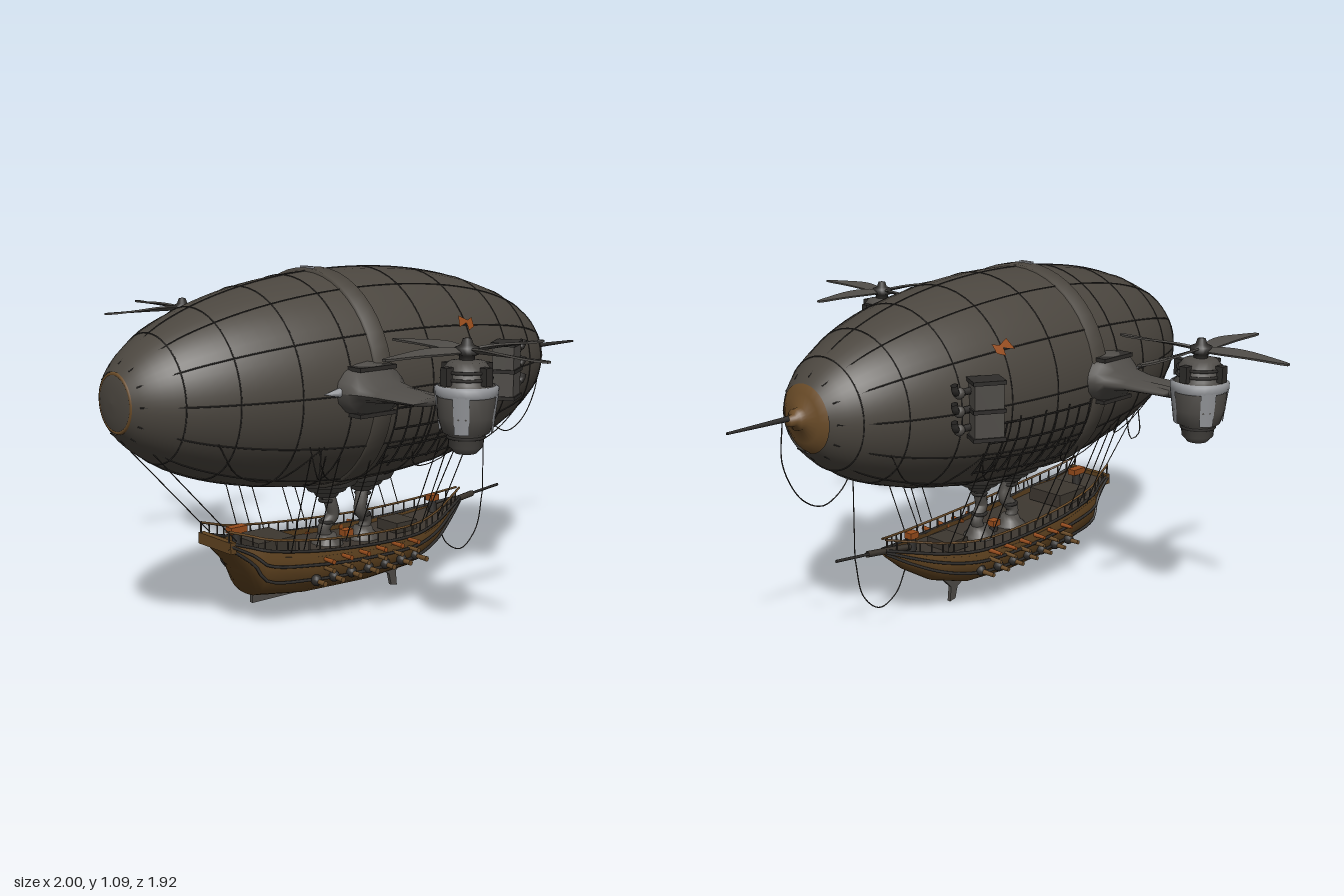
import * as THREE from 'three';

const mat = (name, color) => {
  const m = new THREE.MeshStandardMaterial({ color, side: THREE.DoubleSide });
  m.name = name;
  return m;
};
const M = {
  canvas: mat('canvas', 0x4b463f), metal: mat('wing metal', 0x4f4c48), dark: mat('dark iron', 0x2e2c2a),
  silver: mat('bare steel', 0x96989c), wood: mat('hull wood', 0x604320), deck: mat('deck wood', 0x3d3730),
  bronze: mat('bronze', 0x6b4c28), orange: mat('orange paint', 0x964c1c), rope: mat('rope', 0x35322f),
};
const V = (x, y, z) => new THREE.Vector3(x, y, z);
const CY = 0.738, CZ = 0.135, LEN = 0.85, RAD = 0.337;
const envR = z => RAD * Math.sqrt(Math.max(0, 1 - ((z - CZ) / LEN) ** 2));
// point on the envelope: angle 0 is +x, 90 degrees is up
const onEnv = (z, a, off = 0) => V(Math.cos(a) * (envR(z) + off), CY + Math.sin(a) * (envR(z) + off), z);

function add(parent, name, geo, material, x = 0, y = 0, z = 0) {
  const m = new THREE.Mesh(geo, material);
  m.name = name;
  m.position.set(x, y, z);
  parent.add(m);
  return m;
}
const tube = (p, name, pts, r, material, seg = 12, sides = 5) =>
  add(p, name, new THREE.TubeGeometry(new THREE.CatmullRomCurve3(pts), seg, r, sides), material);
const line = (p, name, a, b, r, material) =>
  add(p, name, new THREE.TubeGeometry(new THREE.LineCurve3(a, b), 1, r, 5), material);
const lathe = (pts, seg = 24) => new THREE.LatheGeometry(pts.map(p => new THREE.Vector2(p[0], p[1])), seg);

// skin through a list of equally long cross-sections
function loft(sections) {
  const n = sections[0].length, idx = [];
  for (let i = 0; i < sections.length - 1; i++)
    for (let j = 0; j < n - 1; j++) {
      const a = i * n + j, b = a + n;
      idx.push(a, b, a + 1, b, b + 1, a + 1);
    }
  const g = new THREE.BufferGeometry().setFromPoints(sections.flat());
  g.setIndex(idx);
  g.computeVertexNormals();
  return g;
}

function envelope(root) {
  const g = new THREE.Group();
  g.name = 'envelope';
  root.add(g);
  const prof = [];
  for (let i = 0; i <= 40; i++) {
    const a = -1.26 + 2.56 * i / 40;
    prof.push([RAD * Math.cos(a), LEN * Math.sin(a)]);
  }
  add(g, 'envelopeSkin', lathe(prof, 48).rotateX(Math.PI / 2), M.canvas, 0, CY, CZ);
  add(g, 'noseCap', lathe([[0.09, 0.952], [0.075, 0.958], [0.04, 0.964], [0, 0.966]]).rotateX(Math.PI / 2), M.canvas, 0, CY, 0);
  add(g, 'noseRing', new THREE.TorusGeometry(0.083, 0.007, 8, 32), M.bronze, 0, CY, 0.95);
  add(g, 'tailCap', lathe([[0, -0.74], [0.016, -0.74], [0.018, -0.72], [0.032, -0.715], [0.034, -0.695], [0.075, -0.688], [0.106, -0.668], [0.112, -0.66]])
    .rotateX(Math.PI / 2), M.bronze, 0, CY + 0.004, 0);
  add(g, 'tailSpike', new THREE.CylinderGeometry(0.009, 0.004, 0.23, 8).rotateX(Math.PI / 2), M.dark, 0, 0.75, -0.838);
  // broad band round the wing line
  add(g, 'wingBand', lathe([[0.325, -0.03], [0.343, -0.03], [0.343, 0.03], [0.325, 0.03]], 48).rotateX(Math.PI / 2), M.canvas, 0, CY, 0.25);
  add(g, 'bandPlate', new THREE.BoxGeometry(0.05, 0.008, 0.016), M.silver, 0, CY + 0.343, 0.27);
  // seams
  for (const z of [0.84, 0.7, 0.52, 0.36, 0.05, -0.14, -0.32, -0.48, -0.6])
    add(g, 'ringSeam', new THREE.TorusGeometry(envR(z), 0.0025, 4, 48), M.dark, 0, CY, z);
  for (let k = 0; k < 12; k++) {
    const pts = [];
    for (let i = 0; i <= 14; i++) pts.push(onEnv(-0.66 + 1.6 * i / 14, (k + 0.5) * Math.PI / 6 - Math.PI / 12 * 1, 0.001));
    tube(g, 'lengthSeam', pts, 0.0022, M.dark, 40, 4);
  }
}

// everything that repeats on each side of the envelope
function flank(root, s) {
  const g = new THREE.Group();
  g.name = s > 0 ? 'leftFlank' : 'rightFlank';
  g.scale.x = s;
  root.add(g);
  // wing: x, centre z, half chord, half thickness
  const wing = [[0.3, 0.3, 0.12, 0.085], [0.36, 0.3, 0.108, 0.075], [0.385, 0.3, 0.095, 0.035], [0.45, 0.3, 0.082, 0.022], [0.6, 0.3, 0.075, 0.012], [0.6, 0.3, 0.001, 0.001]];
  add(g, 'wing', loft(wing.map(([x, zc, c, t]) => {
    const sec = [];
    for (let i = 0; i <= 16; i++) {
      const a = i / 16 * Math.PI * 2;
      sec.push(V(x, 0.748 + t * Math.sin(a), zc + c * Math.cos(a)));
    }
    return sec;
  })), M.metal);
  add(g, 'wingSpar', new THREE.CylinderGeometry(0.016, 0.022, 0.3, 10).rotateZ(-Math.PI / 2), M.metal, 0.5, 0.748, 0.27);
  add(g, 'rootFairing', new THREE.ConeGeometry(0.032, 0.14, 12).rotateX(Math.PI / 2), M.silver, 0.325, 0.75, 0.4);
  for (const y of [0.68, 0.715, 0.78, 0.815])
    add(g, 'rootRib', new THREE.BoxGeometry(0.07, 0.012, 0.14), M.dark, 0.335, y, 0.3);

  // engine nacelle and rotor
  const e = new THREE.Group();
  e.name = 'engine';
  e.position.set(0.7, 0, 0.27);
  g.add(e);
  add(e, 'nacelle', lathe([[0, 0.612], [0.03, 0.616], [0.048, 0.635], [0.05, 0.665], [0.066, 0.675], [0.08, 0.72], [0.084, 0.8], [0.07, 0.812], [0.066, 0.85], [0.05, 0.87], [0.02, 0.875], [0, 0.875]]), M.metal);
  for (const [r, y] of [[0.05, 0.662], [0.069, 0.825], [0.068, 0.845]])
    add(e, 'nacelleRing', new THREE.TorusGeometry(r, 0.005, 6, 28).rotateX(Math.PI / 2), M.dark, 0, y, 0);
  add(e, 'steelCollar', lathe([[0.082, 0.775], [0.088, 0.78], [0.089, 0.8], [0.08, 0.806]]), M.silver);
  for (let k = 0; k < 4; k++)
    add(e, 'steelPlate', new THREE.CylinderGeometry(0.088, 0.074, 0.105, 6, 1, true, k * Math.PI / 2 + 0.35, 0.55), M.silver, 0, 0.73, 0);
  for (let k = 0; k < 4; k++) {
    const a = k * Math.PI / 2;
    add(e, 'engineLug', new THREE.BoxGeometry(0.025, 0.05, 0.025), M.dark, 0.075 * Math.cos(a), 0.835, 0.075 * Math.sin(a));
  }
  add(e, 'rotorHub', lathe([[0.022, 0.87], [0.022, 0.885], [0.034, 0.89], [0.034, 0.908], [0.018, 0.915], [0.012, 0.932], [0, 0.935]], 16), M.dark);
  for (let k = 0; k < 4; k++) {
    const b = new THREE.BoxGeometry(0.28, 0.006, 1, 10, 1, 1), p = b.attributes.position;
    for (let i = 0; i < p.count; i++) {
      const t = p.getX(i) / 0.28 + 0.5;
      const w = (0.022 + 0.075 * t * (1 - t) * (1.5 - t)) * (t > 0.95 ? 0.6 : 1), tw = 0.5 * (1 - t);
      const z = p.getZ(i) * w + 0.012 * Math.sin(t * Math.PI), y = p.getY(i);
      p.setXYZ(i, 0.02 + t * 0.28, y * Math.cos(tw) + z * Math.sin(tw), z * Math.cos(tw) - y * Math.sin(tw));
    }
    b.computeVertexNormals();
    add(e, 'rotorBlade', b, M.metal, 0, 0.9, 0).rotation.y = k * Math.PI / 2;
  }

  // rear battery box with stacks
  const box = new THREE.Group();
  box.name = 'sideBattery';
  box.position.set(0.325, 0.75, -0.265);
  box.rotation.y = 0.52;
  g.add(box);
  add(box, 'batteryBox', new THREE.BoxGeometry(0.07, 0.18, 0.09), M.metal, 0.005, 0, 0);
  for (const y of [-0.085, 0, 0.085]) add(box, 'boxRib', new THREE.BoxGeometry(0.08, 0.012, 0.1), M.dark, 0.005, y, 0);
  for (const y of [-0.055, 0, 0.055]) {
    tube(box, 'exhaustStack', [V(-0.01, y, -0.04), V(0.01, y, -0.085), V(0.03, y + 0.008, -0.1), V(0.035, y + 0.03, -0.105)], 0.011, M.dark, 8, 8);
    add(box, 'stackFlange', new THREE.SphereGeometry(0.018, 10, 8), M.metal, 0.015, y, -0.085);
  }

  // worn paint patch
  const P = [[-0.1, 0.5], [-0.115, 0.62], [-0.15, 0.57], [-0.175, 0.6], [-0.17, 0.5], [-0.14, 0.46]];
  add(g, 'paintPatch', loft([P.map(([z, a]) => onEnv(z, a, 0.005)), P.map(() => onEnv(-0.14, 0.54, 0.005))]), M.orange);

  // rope netting on the lower flank
  for (let i = 0; i <= 8; i++) {
    const z = 0.2 - i * 0.052;
    tube(g, 'netRope', [0, 1, 2, 3, 4].map(k => onEnv(z, -0.12 - 0.17 * k - 0.03 * (i % 2), 0.008)), 0.003, M.dark, 8, 4);
  }
  for (let k = 0; k < 4; k++)
    tube(g, 'netBar', [0.2, 0.06, -0.08, -0.22].map(z => onEnv(z, -0.16 - 0.2 * k, 0.009)), 0.003, M.dark, 8, 4);
  for (const z0 of [0.75, 0.45, 0.1, -0.2])
    tube(g, 'slackRope', [onEnv(z0, -0.5, 0.003), onEnv(z0 - 0.1, -0.95, 0.012), onEnv(z0 - 0.22, -0.95, 0.012), onEnv(z0 - 0.32, -0.5, 0.003)], 0.002, M.rope, 16, 4);
  // suspension ropes
  for (const z of [0.46, 0.41, 0.36, 0.24, 0.19, -0.04, -0.09, -0.14, -0.2])
    line(g, 'suspensionRope', onEnv(z, -0.62, 0), V(z < -0.1 ? 0.1 : 0.135, 0.24, z * 0.97), 0.0018, M.rope);
  line(g, 'sternRope', onEnv(0.88, -1.1, 0), V(0.07, 0.29, 0.6), 0.0018, M.rope);
  tube(g, 'hangingLoop', [V(0.3, 0.6, 0.5), V(0.315, 0.52, 0.49), V(0.3, 0.5, 0.47), V(0.29, 0.58, 0.45)], 0.002, M.rope);
}

// ship stations: z, half width, keel height, rail height
const S = [[0.63, 0.085, 0.262, 0.29], [0.55, 0.11, 0.17, 0.265], [0.52, 0.125, 0.095, 0.255], [0.35, 0.15, 0.072, 0.228], [0.1, 0.155, 0.066, 0.208],
  [-0.08, 0.14, 0.075, 0.205], [-0.2, 0.1, 0.11, 0.218], [-0.3, 0.05, 0.17, 0.238], [-0.38, 0.008, 0.235, 0.256]];

const hullPoint = ([z, w, k, t], u, off = 0) => {
  const a = u * Math.PI / 2, h = 1 - Math.cos(a);
  return V(Math.sign(u) * (w * Math.abs(Math.sin(a)) ** 0.75 * (1 - 0.13 * h * h) + off), k + (t - k) * h, z);
};

function ship(root) {
  const g = new THREE.Group();
  g.name = 'ship';
  root.add(g);
  add(g, 'shipHull', loft(S.map(s => Array.from({ length: 17 }, (_, i) => hullPoint(s, i / 8 - 1)))), M.wood);
  add(g, 'shipDeck', loft(S.map(s => [-0.92, 0, 0.92].map(u => {
    const p = hullPoint(s, u || 0.92);
    return V(u ? p.x : 0, p.y, p.z);
  }))), M.deck);
  add(g, 'sternPanel', new THREE.BoxGeometry(0.17, 0.035, 0.02), M.wood, 0, 0.275, 0.622);
  // wales, rails and guns on both sides
  for (const s of [-1, 1]) {
    for (const u of [0.6, 0.82, 1]) tube(g, 'wale', S.map(q => hullPoint(q, s * u, 0.003)), 0.005, M.dark, 40, 6);
    const up = p => V(p.x, p.y + 0.035, p.z);
    tube(g, 'railing', S.map(q => up(hullPoint(q, s))), 0.004, M.bronze, 40, 5);
    const curve = new THREE.CatmullRomCurve3(S.map(q => hullPoint(q, s)));
    for (let i = 0; i <= 26; i++) {
      const p = curve.getPointAt(i / 27);
      line(g, 'railPost', p, up(p), 0.003, M.deck);
    }
    for (let i = 0; i < 7; i++) {
      const z = 0.35 - i * 0.07;
      add(g, 'gunPort', new THREE.SphereGeometry(0.018, 10, 8), M.dark, s * (0.135 - Math.max(0, -z) * 0.2), 0.135, z);
      add(g, 'lowerGun', new THREE.CylinderGeometry(0.007, 0.009, 0.06, 8).rotateZ(Math.PI / 2), M.bronze, s * 0.15, 0.133, z);
      if (i < 6) for (const y of [0.168, 0.196])
        add(g, 'upperGun', new THREE.CylinderGeometry(0.006, 0.008, 0.05, 8).rotateZ(Math.PI / 2), y > 0.18 ? M.orange : M.bronze, s * 0.155, y, z - 0.035);
    }
  }
  // keel with downward fin
  const k = new THREE.Shape([[-0.5, 0.09], [-0.5, 0.062], [0.03, 0.062], [0.06, 0.045], [0.07, 0.005], [0.095, 0], [0.09, 0.05], [0.13, 0.09]].map(p => new THREE.Vector2(...p)));
  add(g, 'keelFin', new THREE.ExtrudeGeometry(k, { depth: 0.012, bevelEnabled: false }).translate(0, 0, -0.006).rotateY(Math.PI / 2), M.metal);
  line(g, 'bowsprit', V(0, 0.235, -0.25), V(0, 0.26, -0.45), 0.011, M.deck);
  line(g, 'bowspritTip', V(0, 0.257, -0.42), V(0, 0.272, -0.575), 0.005, M.dark);
  // deck houses and lamps
  add(g, 'sternCabin', new THREE.BoxGeometry(0.14, 0.045, 0.14), M.deck, 0, 0.245, 0.45);
  add(g, 'midCabin', new THREE.BoxGeometry(0.1, 0.035, 0.09), M.deck, 0, 0.21, -0.1);
  for (const [z, y] of [[0.55, 0.3], [-0.26, 0.27], [0.12, 0.215]]) {
    add(g, 'lampPost', new THREE.CylinderGeometry(0.012, 0.016, 0.05, 8), M.dark, 0, y - 0.02, z);
    add(g, 'lamp', new THREE.BoxGeometry(0.03, 0.02, z > 0.5 ? 0.06 : 0.035), M.orange, 0, y + 0.005, z);
  }
  // supply pipes up to the envelope
  for (const [z, d] of [[0.2, -1], [0.05, 1]]) {
    add(g, 'pipeBase', lathe([[0.055, 0.18], [0.052, 0.2], [0.035, 0.215], [0.03, 0.23], [0, 0.232]], 16), M.metal, 0, 0, z);
    tube(g, 'supplyPipe', [V(0, 0.21, z), V(0, 0.25, z - 0.012 * d), V(0.008, 0.29, z + 0.018 * d), V(0.008, 0.325, z + 0.012 * d), V(0, 0.37, z)], 0.021, M.metal, 20, 12);
    for (const y of [0.225, 0.27, 0.34]) add(g, 'pipeCollar', new THREE.TorusGeometry(0.022, 0.006, 6, 16).rotateX(Math.PI / 2), M.dark, 0, y, z);
    add(g, 'pipeMount', lathe([[0, 0.352], [0.035, 0.354], [0.045, 0.37], [0.062, 0.374], [0.07, 0.39], [0.095, 0.396], [0.11, 0.425]], 20), M.metal, 0, 0, z);
  }
}

export function createModel() {
  const root = new THREE.Group();
  root.name = 'airship';
  envelope(root);
  for (const s of [1, -1]) flank(root, s);
  ship(root);
  // slack lines behind the tail
  tube(root, 'tailRope', [V(0, 0.75, -0.76), V(0, 0.62, -0.765), V(0, 0.5, -0.7), V(0, 0.46, -0.62), V(0, 0.49, -0.55), V(0, 0.55, -0.5)], 0.002, M.rope, 30);
  line(root, 'dropLine', V(0, 0.55, -0.5), V(0, 0.26, -0.5), 0.0018, M.rope);
  tube(root, 'bowRope', [V(0, 0.26, -0.5), V(0, 0.13, -0.47), V(0, 0.07, -0.4), V(0, 0.1, -0.33), V(0, 0.17, -0.29)], 0.002, M.rope, 30);
  line(root, 'tailStay', V(0, 0.55, -0.5), V(0, 0.47, -0.25), 0.002, M.rope);
  return root;
}
